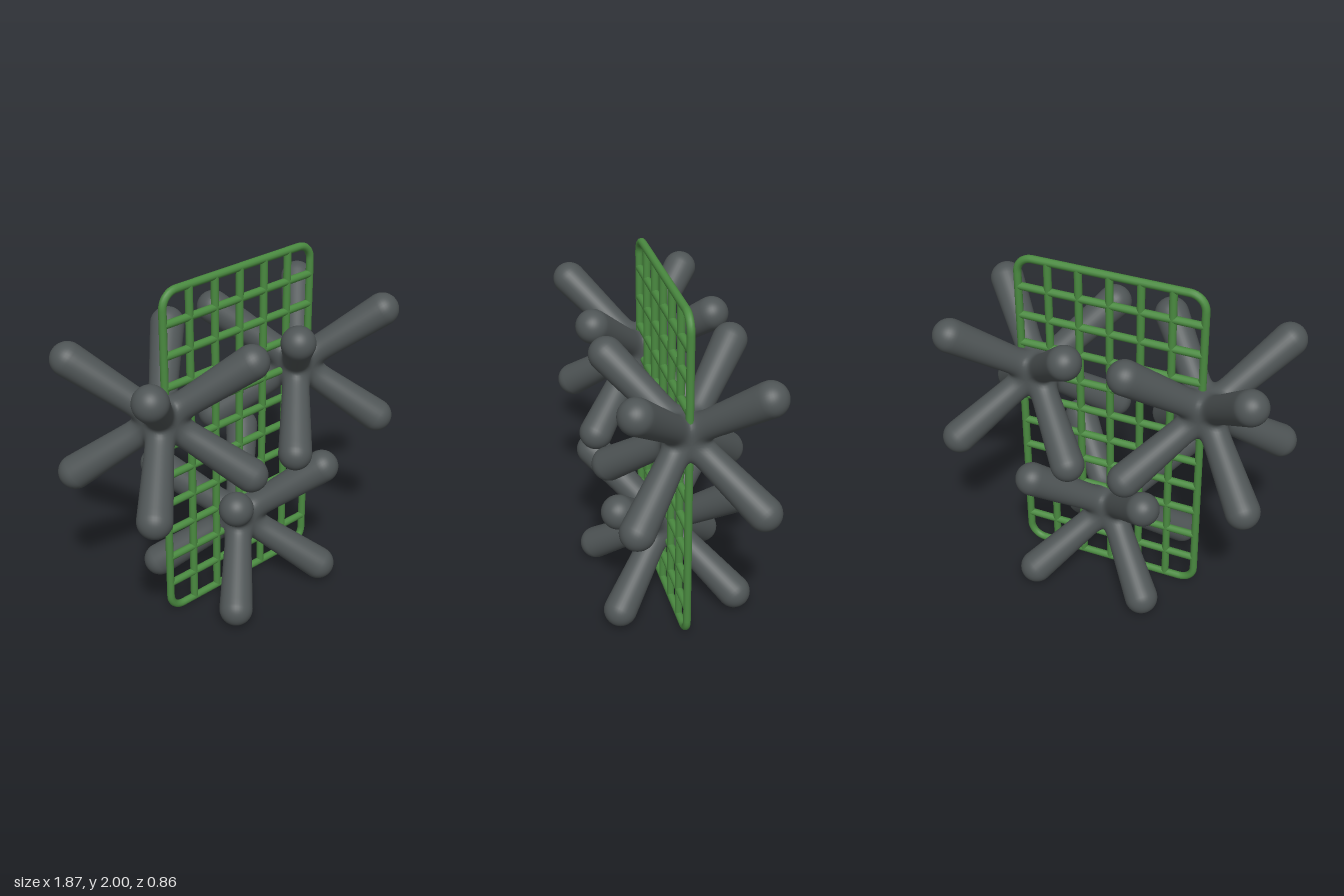
import * as THREE from 'three';
import { mergeVertices, mergeGeometries } from 'three/addons/utils/BufferGeometryUtils.js';
import { ParametricGeometry } from 'three/addons/geometries/ParametricGeometry.js';

const REACH = 0.335 * Math.sqrt(3); // centre of star to centre of rounded arm tip
const TIP_R = 0.095, ROOT_R = 0.07, BLEND = 0.02;

// The eight arm directions of a star: the corners of a cube
const ARMS = [];
for (const x of [-1, 1]) for (const y of [-1, 1]) for (const z of [-1, 1]) {
  ARMS.push(new THREE.Vector3(x, y, z).normalize());
}

// Softly blended union of the eight tapered, round-ended arms
function starField(p) {
  let sum = 0;
  for (const a of ARMS) {
    const along = p.dot(a);
    const h = THREE.MathUtils.clamp(along, 0, REACH);
    const d = Math.sqrt(Math.max(0, p.lengthSq() - 2 * h * along + h * h));
    sum += Math.exp(-(d - THREE.MathUtils.lerp(ROOT_R, TIP_R, h / REACH)) / BLEND);
  }
  return -BLEND * Math.log(sum);
}

// One arm fills one octant; rays from the star's centre find its surface
function makeArm() {
  const axis = new THREE.Vector3(1, 1, 1).normalize();
  const e1 = new THREE.Vector3(1, -1, 0).normalize();
  const e2 = axis.clone().cross(e1);
  const side = new THREE.Vector3(), dir = new THREE.Vector3(), p = new THREE.Vector3();
  const capShare = 0.32, capAngle = THREE.MathUtils.degToRad(80);
  return new ParametricGeometry((u, v, target) => {
    const phi = u * Math.PI * 2, w = 1 - v;
    side.copy(e1).multiplyScalar(Math.cos(phi)).addScaledVector(e2, Math.sin(phi));
    const a = capAngle * Math.min(1, w / capShare);
    let theta = Math.atan2(TIP_R * Math.sin(a), REACH + TIP_R * Math.cos(a));
    if (w > capShare) {
      // shaft: even steps down to the edge of the octant
      const edge = -Math.min(side.x, side.y, side.z) * Math.sqrt(3);
      const s = (w - capShare) / (1 - capShare);
      theta = Math.atan2(1, THREE.MathUtils.lerp(1 / Math.tan(theta), edge, s));
    }
    dir.copy(axis).multiplyScalar(Math.cos(theta)).addScaledVector(side, Math.sin(theta));
    let lo = 0, hi = 0.9;
    for (let i = 0; i < 26; i++) {
      const mid = (lo + hi) / 2;
      if (starField(p.copy(dir).multiplyScalar(mid)) < 0) lo = mid; else hi = mid;
    }
    target.copy(dir).multiplyScalar(lo);
  }, 36, 28);
}

// Eight turned copies of the arm, welded into one smooth star
function makeStar() {
  const arm = makeArm();
  arm.deleteAttribute('normal');
  arm.deleteAttribute('uv');
  const arms = [];
  for (let flip = 0; flip < 2; flip++) {
    for (let turn = 0; turn < 4; turn++) {
      arms.push(arm.clone().rotateX(flip * Math.PI).rotateY(turn * Math.PI / 2));
    }
  }
  const star = mergeVertices(mergeGeometries(arms), 1e-4);
  star.computeVertexNormals();
  return star;
}

// Centre line of the frame: a rectangle with rounded corners
function framePath(w, h, r) {
  const path = new THREE.CurvePath();
  const V = (x, y) => new THREE.Vector3(x, y, 0);
  const k = r * (1 - 0.5523);
  const corner = (a, b, c, d) => path.add(new THREE.CubicBezierCurve3(a, b, c, d));
  const line = (a, b) => path.add(new THREE.LineCurve3(a, b));
  line(V(-w + r, -h), V(w - r, -h));
  corner(V(w - r, -h), V(w - k, -h), V(w, -h + k), V(w, -h + r));
  line(V(w, -h + r), V(w, h - r));
  corner(V(w, h - r), V(w, h - k), V(w - k, h), V(w - r, h));
  line(V(w - r, h), V(-w + r, h));
  corner(V(-w + r, h), V(-w + k, h), V(-w, h - k), V(-w, h - r));
  line(V(-w, h - r), V(-w, -h + r));
  corner(V(-w, -h + r), V(-w, -h + k), V(-w + k, -h), V(-w + r, -h));
  return path;
}

export function createModel() {
  const model = new THREE.Group();
  model.name = 'trellisWithStars';

  const green = new THREE.MeshStandardMaterial({ color: 0x4a8a40 });
  green.name = 'green';
  const darkGrey = new THREE.MeshStandardMaterial({ color: 0x4f5556 });
  darkGrey.name = 'darkGrey';

  // Upright grid panel
  const BAR = 0.022, STEP = 0.178, halfW = 3 * STEP, halfH = 5.5 * STEP;
  const panel = new THREE.Group();
  panel.name = 'gridPanel';
  panel.position.set(0.058, 1, 0);
  model.add(panel);

  const add = (parent, name, geometry, material) => {
    const mesh = new THREE.Mesh(geometry, material);
    mesh.name = name;
    parent.add(mesh);
    return mesh;
  };

  add(panel, 'frame', new THREE.TubeGeometry(framePath(halfW, halfH, 0.09), 320, BAR, 12, true), green);

  const upright = new THREE.CylinderGeometry(BAR, BAR, halfH * 2, 12, 1, true);
  for (let i = -2; i <= 2; i++) {
    add(panel, 'verticalBar', upright, green).position.x = i * STEP;
  }
  const crossbar = new THREE.CylinderGeometry(BAR, BAR, halfW * 2, 12, 1, true).rotateZ(Math.PI / 2);
  for (let i = 0; i < 10; i++) {
    add(panel, 'horizontalBar', crossbar, green).position.y = (i - 4.5) * STEP;
  }

  // Three eight-armed stars threaded on the panel
  const star = makeStar();
  const places = { rightStar: [-0.505, 1.28], leftStar: [0.505, 1.28], lowerStar: [0.058, 0.437] };
  for (const [name, [x, y]] of Object.entries(places)) {
    add(model, name, star, darkGrey).position.set(x, y, 0);
  }
  return model;
}
